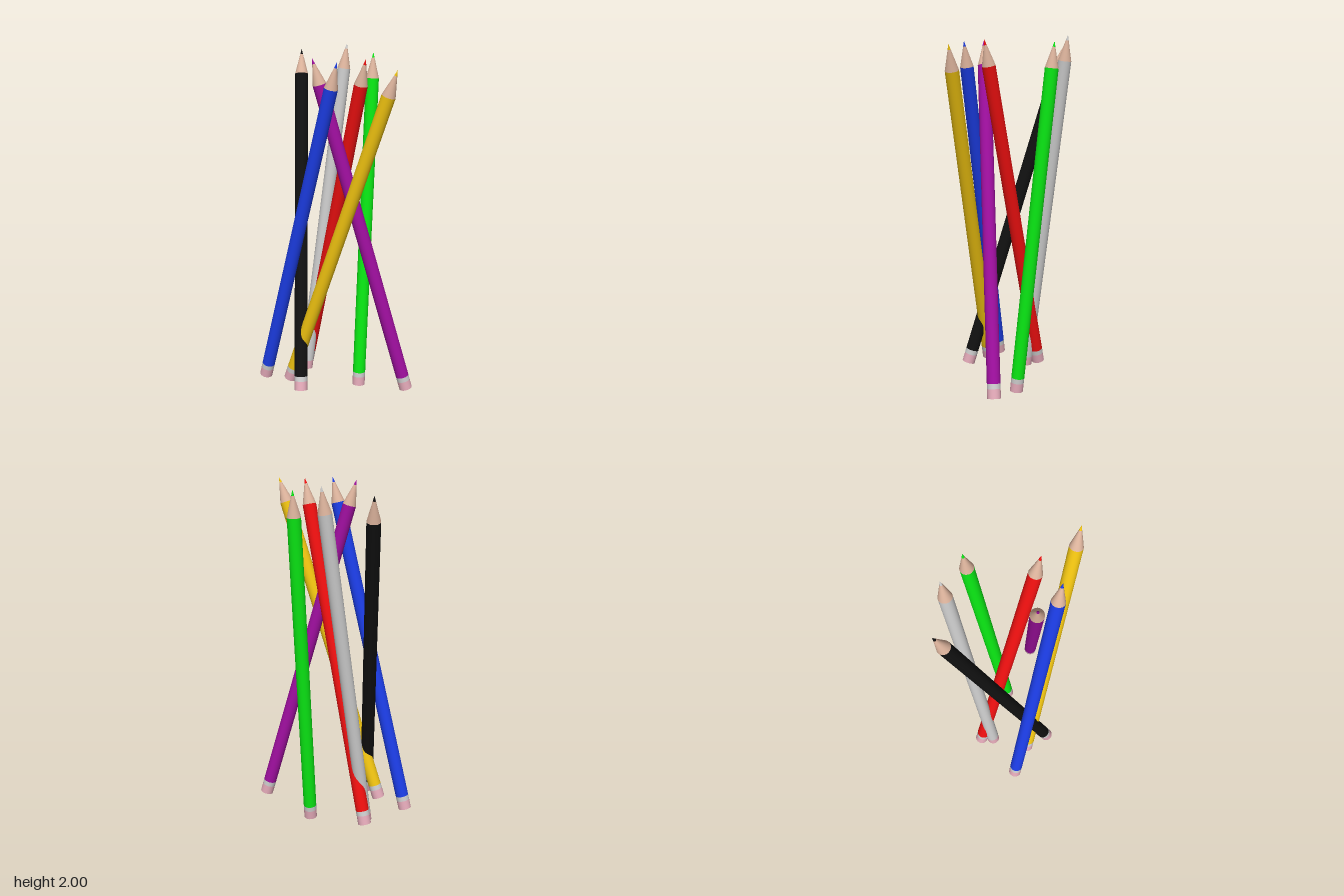
import * as THREE from 'three';

const RADIUS = 0.037;
const LENGTH = 1.967;
const SIDES = 32;

// Each pencil: colour, centre of the eraser end, and point of the lead
const PENCILS = [
  { name: 'bluePencil', color: 0x1c3de6, from: [-0.30, 0.065, -0.31], to: [-0.128, 1.968, 0.17] },
  { name: 'blackPencil', color: 0x111111, from: [-0.265, 0.08, 0.005], to: [0.087, 1.957, -0.452] },
  { name: 'yellowPencil', color: 0xf2c511, from: [-0.235, 0.09, -0.145], to: [0.035, 1.946, 0.455] },
  { name: 'purplePencil', color: 0xa00fa0, from: [0.242, 0.075, 0.343], to: [-0.152, 1.968, -0.015] },
  { name: 'redPencil', color: 0xf01010, from: [0.01, 0.07, -0.315], to: [0.042, 1.968, 0.192] },
  { name: 'whitePencil', color: 0xcccccc, from: [-0.04, 0.055, -0.258], to: [0.259, 1.996, -0.249] },
  { name: 'greenPencil', color: 0x0aeb14, from: [0.137, 0.005, 0.035], to: [0.308, 1.971, -0.07] },
];

const material = (color) => new THREE.MeshStandardMaterial({ color });

// A stretch of the pencil between two heights, round in section
function section(name, y0, y1, r0, r1, mat, open = true) {
  const geometry = new THREE.CylinderGeometry(r1, r0, y1 - y0, SIDES, 1, open);
  geometry.translate(0, (y0 + y1) / 2, 0);
  const mesh = new THREE.Mesh(geometry, mat);
  mesh.name = name;
  return mesh;
}

export function createModel() {
  const model = new THREE.Group();
  model.name = 'pencils';
  const pink = material(0xe3a9b8);
  const grey = material(0xcccccc);
  const wood = material(0xdcb39c);

  const eraserTop = 0.052, bandTop = 0.08;
  const bodyTop = LENGTH - 0.142, woodTop = LENGTH - 0.03;
  const leadRadius = RADIUS * (0.03 / 0.142);

  for (const { name, color, from, to } of PENCILS) {
    const paint = material(color);
    const pencil = new THREE.Group();
    pencil.name = name;
    pencil.add(
      section('eraser', 0, eraserTop, RADIUS, RADIUS, pink, false),
      section('band', eraserTop, bandTop, RADIUS, RADIUS, grey),
      section('body', bandTop, bodyTop, RADIUS, RADIUS, paint),
      section('sharpenedWood', bodyTop, woodTop, RADIUS, leadRadius, wood),
      section('lead', woodTop, LENGTH, leadRadius, 0, paint),
    );

    // Lean the pencil from its eraser end towards its point
    const base = new THREE.Vector3(...from);
    const axis = new THREE.Vector3(...to).sub(base).normalize();
    pencil.position.copy(base);
    pencil.quaternion.setFromUnitVectors(new THREE.Vector3(0, 1, 0), axis);
    model.add(pencil);
  }
  return model;
}
